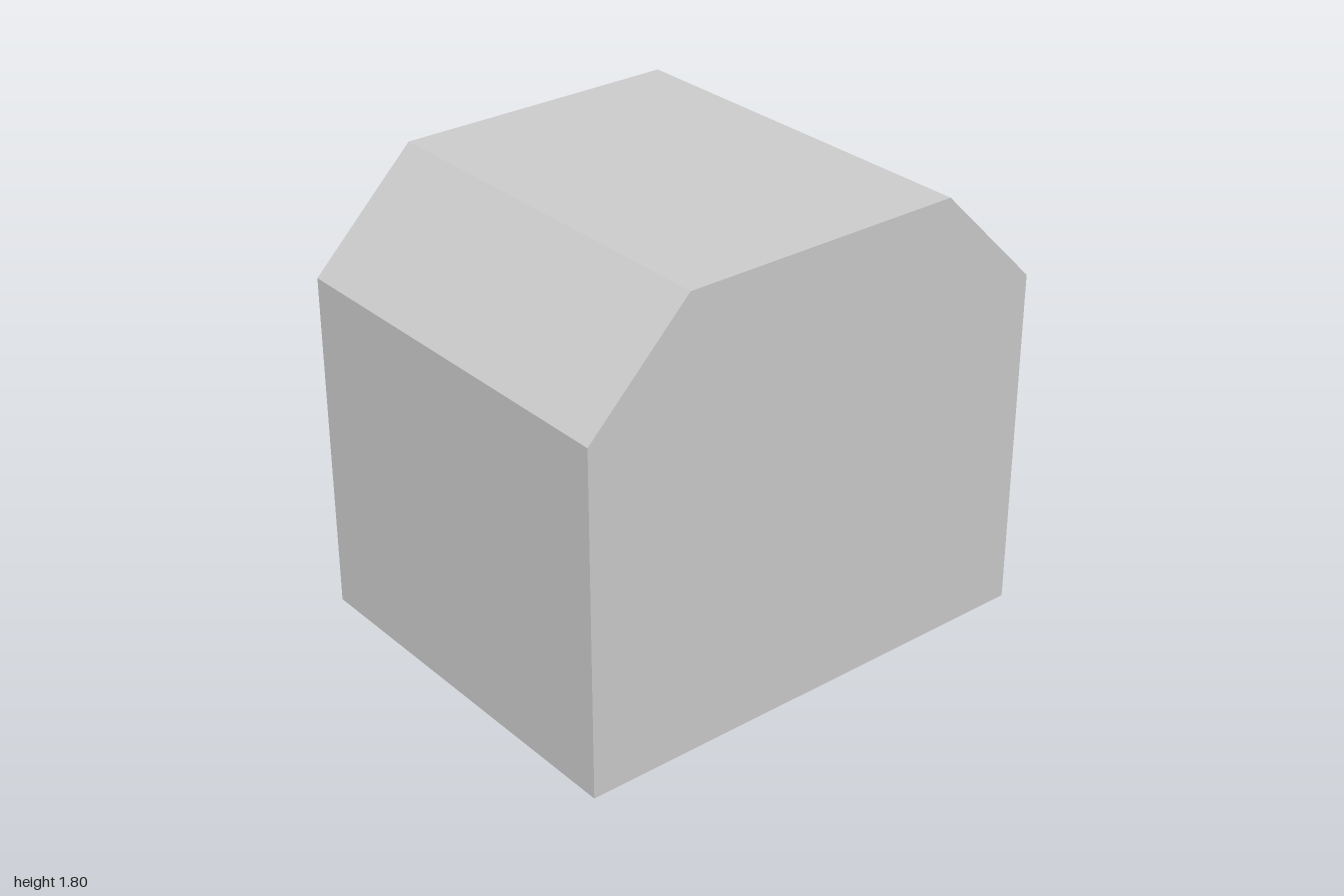
import * as THREE from 'three';

export function createModel() {
  const group = new THREE.Group();
  const halfWidth = 1, height = 1.8, depth = 1.6;
  const shoulder = 1.38, halfTop = 0.58;

  // Block outline with both upper edges bevelled
  const outline = new THREE.Shape([
    new THREE.Vector2(-halfWidth, 0),
    new THREE.Vector2(halfWidth, 0),
    new THREE.Vector2(halfWidth, shoulder),
    new THREE.Vector2(halfTop, height),
    new THREE.Vector2(-halfTop, height),
    new THREE.Vector2(-halfWidth, shoulder),
  ]);

  // Solid block, extruded front to back
  const geometry = new THREE.ExtrudeGeometry(outline, { depth, bevelEnabled: false });
  geometry.translate(0, 0, -depth / 2);
  const block = new THREE.Mesh(
    geometry,
    new THREE.MeshStandardMaterial({ color: 0xcccccc, flatShading: true })
  );
  block.name = 'bevelledBlock';
  group.add(block);
  return group;
}
